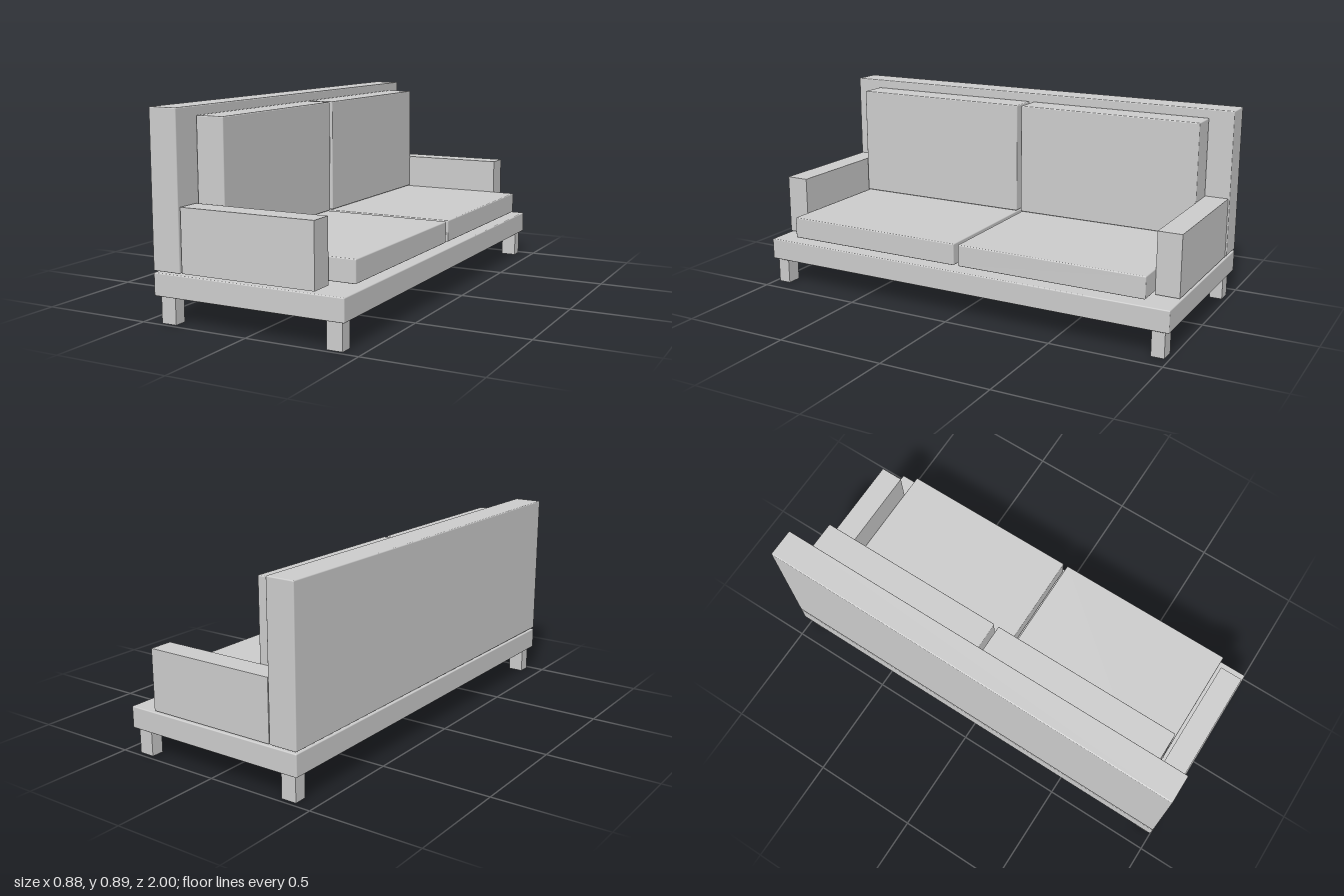
import * as THREE from 'three';
import { RoundedBoxGeometry } from 'three/addons/geometries/RoundedBoxGeometry.js';

const material = new THREE.MeshStandardMaterial({ color: 0xcccccc });

// A box between [min, max] ranges on each axis, with an optional softened edge
function block(name, [x0, x1], [y0, y1], [z0, z1], radius = 0) {
  const size = [x1 - x0, y1 - y0, z1 - z0];
  const geometry = radius
    ? new RoundedBoxGeometry(...size, 2, radius)
    : new THREE.BoxGeometry(...size);
  const mesh = new THREE.Mesh(geometry, material);
  mesh.name = name;
  mesh.position.set((x0 + x1) / 2, (y0 + y1) / 2, (z0 + z1) / 2);
  return mesh;
}

export function createModel() {
  const sofa = new THREE.Group();
  sofa.name = 'sofa';
  const edge = 0.005;

  // Platform and tall backrest; the seat opens towards +x
  sofa.add(block('base', [-0.44, 0.44], [0.117, 0.215], [-1, 1], edge));
  sofa.add(block('backrest', [-0.44, -0.309], [0.222, 0.888], [-1, 1], edge));

  // Two seat cushions, each with a back cushion standing on it
  for (const span of [[-0.888, -0.019], [0.002, 0.87]]) {
    sofa.add(block('seatCushion', [-0.306, 0.42], [0.235, 0.333], span, edge));
    sofa.add(block('backCushion', [-0.306, -0.176], [0.335, 0.849], span, edge));
  }

  // Square-edged armrests
  for (const span of [[-0.995, -0.889], [0.885, 0.991]]) {
    sofa.add(block('armrest', [-0.304, 0.309], [0.222, 0.493], span));
  }

  // Four short legs
  for (const x of [-0.383, 0.388]) {
    for (const z of [-0.95, 0.952]) {
      sofa.add(block('leg', [x - 0.035, x + 0.035], [0, 0.118], [z - 0.029, z + 0.029]));
    }
  }
  return sofa;
}
